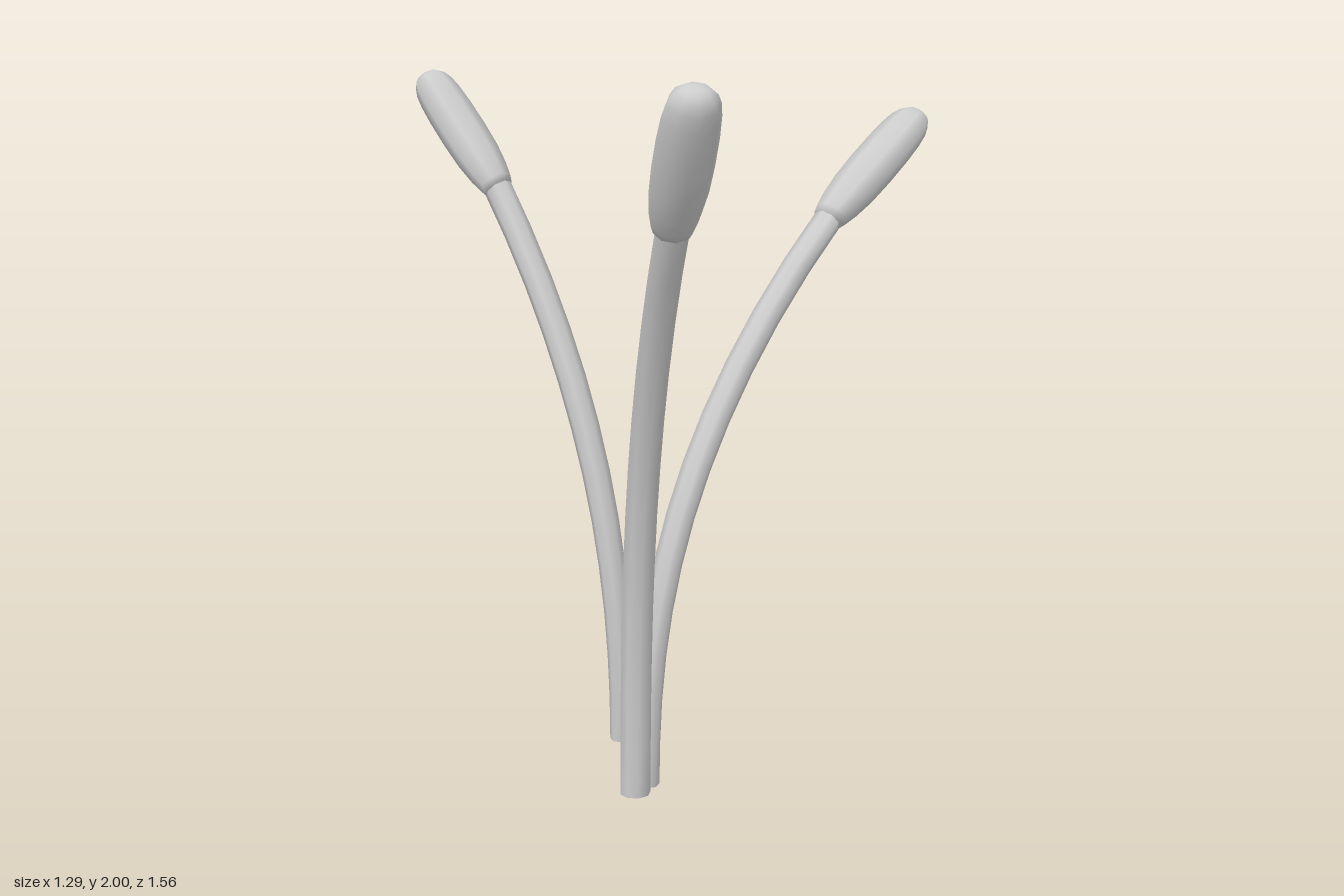
import * as THREE from 'three';

const SIDES = 8;
const STEPS = 12;

// Skin elliptical rings: each has a centre, in-plane and sideways axes and a radius pair.
function skin(rings) {
  const pos = [], index = [];
  for (const { c, n, b, rn, rb } of rings) {
    for (let i = 0; i < SIDES; i++) {
      const a = (i / SIDES) * Math.PI * 2;
      const p = c.clone().addScaledVector(n, Math.cos(a) * rn).addScaledVector(b, Math.sin(a) * rb);
      pos.push(p.x, p.y, p.z);
    }
  }
  for (let r = 0; r < rings.length - 1; r++) {
    for (let i = 0; i < SIDES; i++) {
      const j = (i + 1) % SIDES, k = r * SIDES, m = k + SIDES;
      index.push(k + i, k + j, m + j, k + i, m + j, m + i);
    }
  }
  const geo = new THREE.BufferGeometry();
  geo.setAttribute('position', new THREE.Float32BufferAttribute(pos, 3));
  geo.setIndex(index);
  geo.computeVertexNormals();
  return geo;
}

// Head profile: [fraction of length, fraction of full radius]
const HEAD = [[-0.05, 0], [-0.05, 0.62], [0, 0.72], [0.1, 0.85], [0.25, 0.96], [0.45, 1], [0.65, 0.99],
  [0.8, 0.94], [0.89, 0.86], [0.95, 0.72], [0.985, 0.5], [1, 0.25], [1, 0]];

// neck and tip: [distance outward, height]; bend: power of the stem's outward curve;
// foot, top and head: [in-plane, sideways] radii
const REEDS = [
  { name: 'leftwardReed', base: [0.076, 0.218], dir: [-0.917, -0.4], foot: 0.13, neck: [0.485, 1.61],
    tip: [0.765, 1.878], bend: 2.3, footR: [0.031, 0.035], topR: [0.037, 0.04], headR: [0.06, 0.067] },
  { name: 'tallReed', base: [0.137, 0.275], dir: [0.565, 0.826], foot: 0, neck: [0.375, 1.64],
    tip: [0.57, 1.985], bend: 2.65, footR: [0.036, 0.042], topR: [0.038, 0.043], headR: [0.064, 0.076] },
  { name: 'backReed', base: [0.142, 0.205], dir: [0.435, -0.9], foot: 0, neck: [0.705, 1.5],
    tip: [1.067, 1.748], bend: 2.5, footR: [0.034, 0.039], topR: [0.037, 0.042], headR: [0.06, 0.074] },
];

function makeReed({ name, base, dir, foot, neck, tip, bend, footR, topR, headR }, material) {
  const out = new THREE.Vector3(dir[0], 0, dir[1]).normalize();
  const up = new THREE.Vector3(0, 1, 0);
  const side = new THREE.Vector3().crossVectors(out, up);
  const place = (d, y) => new THREE.Vector3(base[0], y, base[1]).addScaledVector(out, d);
  const frame = (c, t, rn, rb) => ({
    c, n: new THREE.Vector3().crossVectors(t, side).normalize(), b: side.clone().negate(), rn, rb,
  });
  const reed = new THREE.Group();
  reed.name = name;

  // Bent stem, widening slightly upward, with a flat hard-edged foot
  const footFrame = (s) => frame(place(0, foot), up, footR[0] * s, footR[1] * s);
  const rings = [footFrame(0), footFrame(1)];
  const rise = neck[1] - foot;
  for (let i = 0; i <= STEPS; i++) {
    const t = i / STEPS;
    const tangent = up.clone().multiplyScalar(rise).addScaledVector(out, neck[0] * bend * t ** (bend - 1));
    const [rn, rb] = [0, 1].map((k) => THREE.MathUtils.lerp(footR[k], topR[k], Math.min(1, t * 1.6)));
    rings.push(frame(place(neck[0] * t ** bend, foot + rise * t), tangent, rn, rb));
  }
  const stem = new THREE.Mesh(skin(rings), material);
  stem.name = 'stem';

  // Seed head with a blunt rounded end
  const start = place(...neck), end = place(...tip);
  const axis = end.clone().sub(start).normalize();
  const seed = new THREE.Mesh(
    skin(HEAD.map(([f, s]) => frame(start.clone().lerp(end, f), axis, headR[0] * s, headR[1] * s))), material);
  seed.name = 'seedHead';

  reed.add(stem, seed);
  return reed;
}

export function createModel() {
  const model = new THREE.Group();
  model.name = 'reeds';
  const material = new THREE.MeshStandardMaterial({ color: 0xcccccc });
  for (const spec of REEDS) model.add(makeReed(spec, material));
  return model;
}
